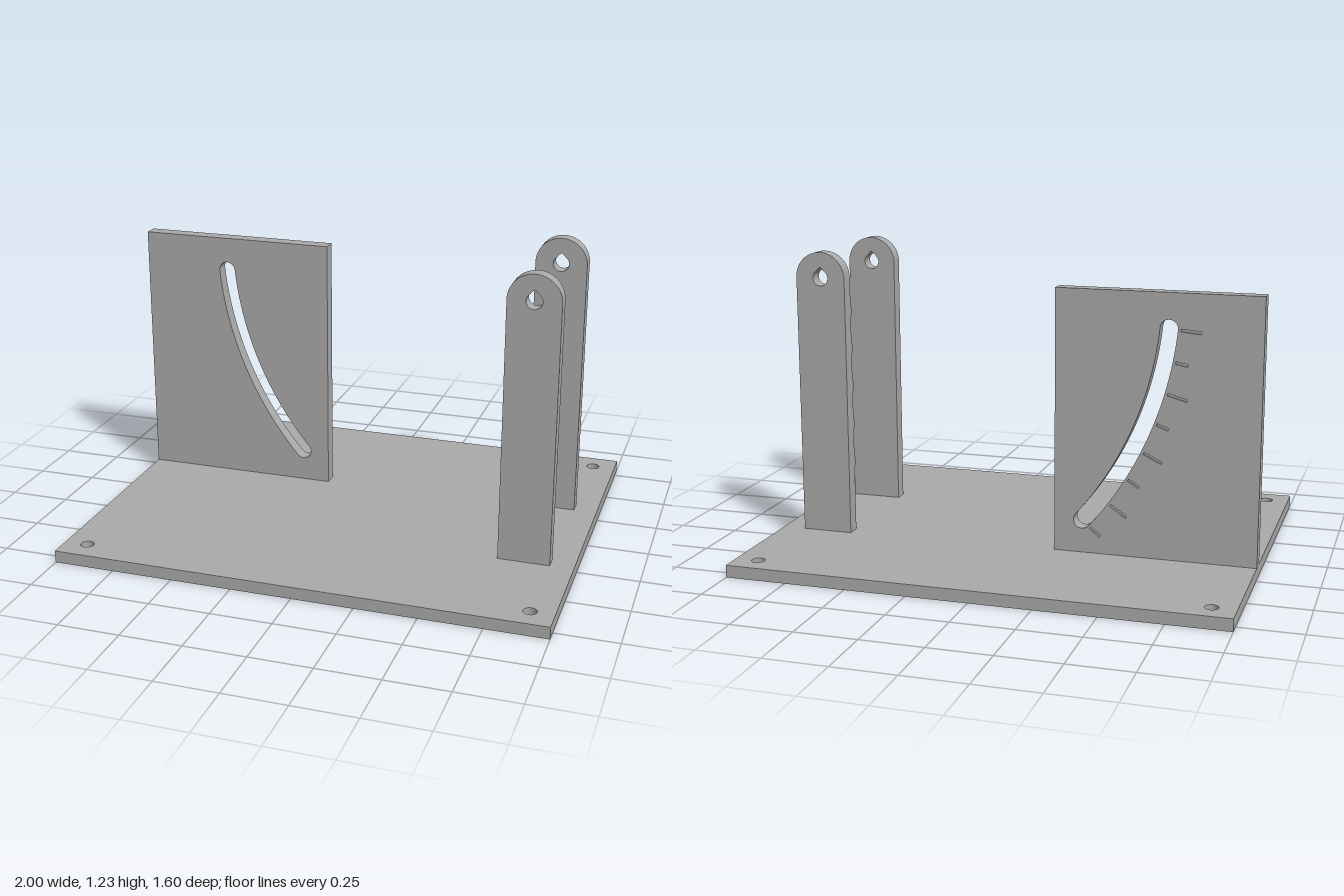
import * as THREE from 'three';
import { toCreasedNormals } from 'three/addons/utils/BufferGeometryUtils.js';

const PI = Math.PI;
const PIVOT = { x: 0.8, y: 1.12 };   // axis shared by the posts and the arc slot
const BASE = 0.05;                   // base plate thickness
const ARC = 1.44, SLOT = 0.035;      // slot radius and half width
const START = 5.6 * PI / 180, END = 40.5 * PI / 180;

function rect(x0, y0, x1, y1) {
  return new THREE.Shape([[x0, y0], [x1, y0], [x1, y1], [x0, y1]].map(p => new THREE.Vector2(...p)));
}

function circleHole(x, y, r) {
  return new THREE.Path().absarc(x, y, r, 0, 2 * PI, true);
}

// Point at a radius and an angle below the horizontal, seen from the pivot
function polar(r, a) {
  return new THREE.Vector2(PIVOT.x - r * Math.cos(a), PIVOT.y - r * Math.sin(a));
}

// Round-ended slot along an arc about the pivot
function arcSlot() {
  const p = new THREE.Path(), a = polar(ARC, START), b = polar(ARC, END);
  p.absarc(PIVOT.x, PIVOT.y, ARC + SLOT, PI + START, PI + END, false);
  p.absarc(b.x, b.y, SLOT, PI + END, 2 * PI + END, false);
  p.absarc(PIVOT.x, PIVOT.y, ARC - SLOT, PI + END, PI + START, true);
  p.absarc(a.x, a.y, SLOT, START, START + PI, false);
  return p;
}

// Radial scale mark
function tick(angle, length) {
  const half = 0.005 / ARC, r0 = 1.487, r1 = r0 + length;
  return new THREE.Path([polar(r0, angle - half), polar(r1, angle - half),
    polar(r1, angle + half), polar(r0, angle + half)]);
}

function extrude(shape, depth) {
  const g = new THREE.ExtrudeGeometry(shape, { depth, bevelEnabled: false, curveSegments: 32 });
  return toCreasedNormals(g, PI / 6);
}

export function createModel() {
  const model = new THREE.Group();
  const grey = new THREE.MeshStandardMaterial({ color: 0xaaaaaa });
  grey.name = 'grey';

  const add = (name, geometry, z, parent = model) => {
    const mesh = new THREE.Mesh(geometry, grey);
    mesh.name = name;
    mesh.position.z = z;
    parent.add(mesh);
    return mesh;
  };

  // Base plate with four corner screw holes
  const base = rect(-1, -0.8, 1, 0.8);
  for (const x of [-0.905, 0.905])
    for (const y of [-0.705, 0.708]) base.holes.push(circleHole(x, y, 0.027));
  add('basePlate', extrude(base, BASE).rotateX(-PI / 2), 0);

  // Two round-topped posts with teardrop pivot holes
  const R = 0.105, r = 0.032;
  const post = new THREE.Shape();
  post.moveTo(PIVOT.x - R, BASE);
  post.lineTo(PIVOT.x + R, BASE);
  post.absarc(PIVOT.x, PIVOT.y, R, 0, PI, false);
  const tear = new THREE.Path();
  tear.absarc(PIVOT.x, PIVOT.y, r, 0.75 * PI, 2.25 * PI, false);
  tear.lineTo(PIVOT.x, PIVOT.y + r * Math.SQRT2);
  post.holes.push(tear);
  const postGeometry = extrude(post, 0.058);
  add('leftFrontPost', postGeometry, 0.265);
  add('leftBackPost', postGeometry, -0.276);

  // Scale panel: slotted sheet, with the marks engraved into its back layer
  const panel = new THREE.Group();
  panel.name = 'scalePanel';
  model.add(panel);
  const front = rect(-1, BASE, -0.18, 1.12);
  front.holes.push(arcSlot());
  const back = rect(-1, BASE, -0.18, 1.12);
  back.holes.push(arcSlot());
  for (let i = 0; i < 8; i++)
    back.holes.push(tick(START + (END - START) * i / 7, i % 2 ? 0.05 : 0.08));
  add('panelSheet', extrude(front, 0.05), -0.23, panel);
  add('engravedScale', extrude(back, 0.01), -0.24, panel);

  return model;
}
